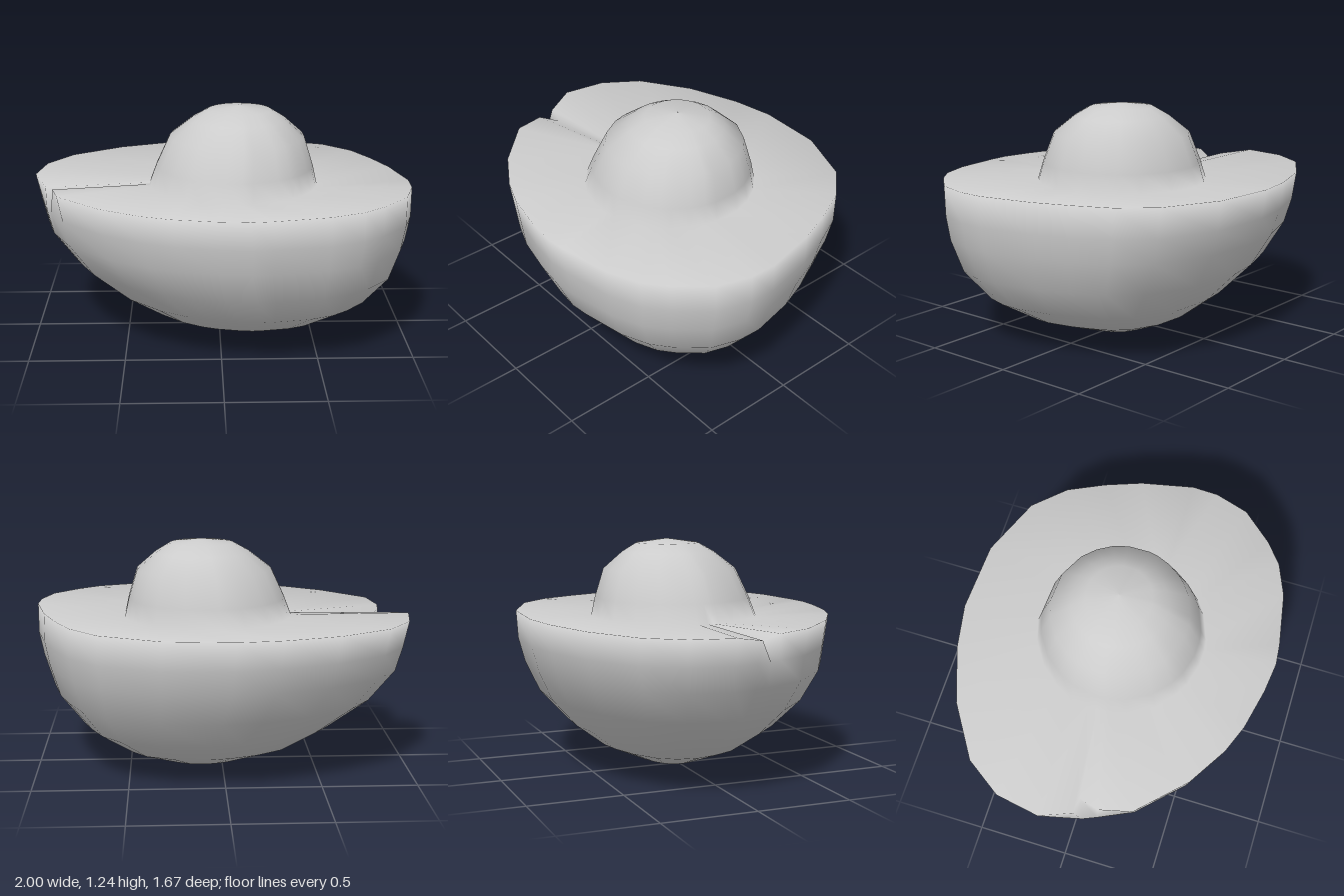
import * as THREE from 'three';

// Rim outline as x, z pairs, running from the left side over the front to the right and back
const rim = [
  1, 0.13, 0.995, 0.27, 0.94, 0.45, 0.8, 0.61, 0.69, 0.7, 0.52, 0.77, 0.24, 0.82, 0.13, 0.83,
  -0.03, 0.81, -0.25, 0.76, -0.4, 0.7, -0.61, 0.57, -0.84, 0.34, -0.88, 0.17, -0.84, 0.06,
  -0.93, 0.05, -1, -0.11, -0.96, -0.34, -0.83, -0.53, -0.56, -0.7, -0.27, -0.8, -0.04, -0.84,
  0.32, -0.82, 0.63, -0.69, 0.78, -0.53, 0.87, -0.34, 0.94, -0.15,
];
const count = rim.length / 2;
// Corners of the notch in the rim: closed position and how far the edge dips there
const notch = {
  13: { closed: [-0.92, 0.17], dip: 0.01 },
  14: { closed: [-0.95, 0.1], dip: 0.06 },
  15: { closed: [-0.97, 0.02], dip: 0.03 },
};

// Outline scaled about the middle; the notch is closed below the rim
function outline(scale, dx, dz, y) {
  return Array.from({ length: count }, (_, j) => {
    const [x, z] = notch[j] ? notch[j].closed : [rim[2 * j], rim[2 * j + 1]];
    return [x * scale + dx, y, z * scale + dz];
  });
}

// Skins a stack of closed loops with smooth normals
function loft(name, loops, material) {
  const index = [];
  for (let i = 0; i < loops.length - 1; i++) {
    for (let j = 0; j < count; j++) {
      const k = (j + 1) % count;
      const a = i * count + j, b = i * count + k, c = a + count, d = b + count;
      index.push(a, b, c, b, d, c);
    }
  }
  const geometry = new THREE.BufferGeometry();
  geometry.setAttribute('position', new THREE.Float32BufferAttribute(loops.flat(2), 3));
  geometry.setIndex(index);
  geometry.computeVertexNormals();
  const mesh = new THREE.Mesh(geometry, material);
  mesh.name = name;
  return mesh;
}

export function createModel() {
  const group = new THREE.Group();
  const material = new THREE.MeshStandardMaterial({ color: 0xcccccc, side: THREE.DoubleSide });

  // Domed stone: radius, height, leaning slightly to the left and back
  const profile = [
    [0.001, 1.235], [0.17, 1.212], [0.25, 1.165], [0.36, 1.075], [0.42, 0.92], [0.45, 0.82],
  ];
  const angles = outline(1, 0, 0, 0).map(([x, , z]) => Math.atan2(z, x - 0.08));
  const stone = profile.map(([r, y]) => angles.map((a) => [
    0.075 + 0.08 * (y - 0.82) + r * Math.cos(a), y, r * Math.sin(a) - 0.06 * (y - 0.82),
  ]));

  // Edge of the nearly flat cut, with its notch; the flesh spans from the stone to here
  const edge = angles.map((_, j) => {
    const x = rim[2 * j], z = rim[2 * j + 1];
    return [x, 0.848 + 0.01 * x - (notch[j] ? notch[j].dip : 0), z];
  });

  // Rounded skin down to the bottom: scale, shift in x and z, height
  const skin = [
    [0.985, 0.015, 0, 0.7], [0.955, 0.02, 0.01, 0.57], [0.86, 0.06, 0.015, 0.4],
    [0.69, 0.1, 0.02, 0.24], [0.49, 0.1, 0.01, 0.12], [0.22, 0.1, 0, 0.025], [0.001, 0.1, 0, 0],
  ].map((level) => outline(...level));

  group.add(loft('halvedFruit', [...stone, edge, ...skin], material));
  return group;
}
